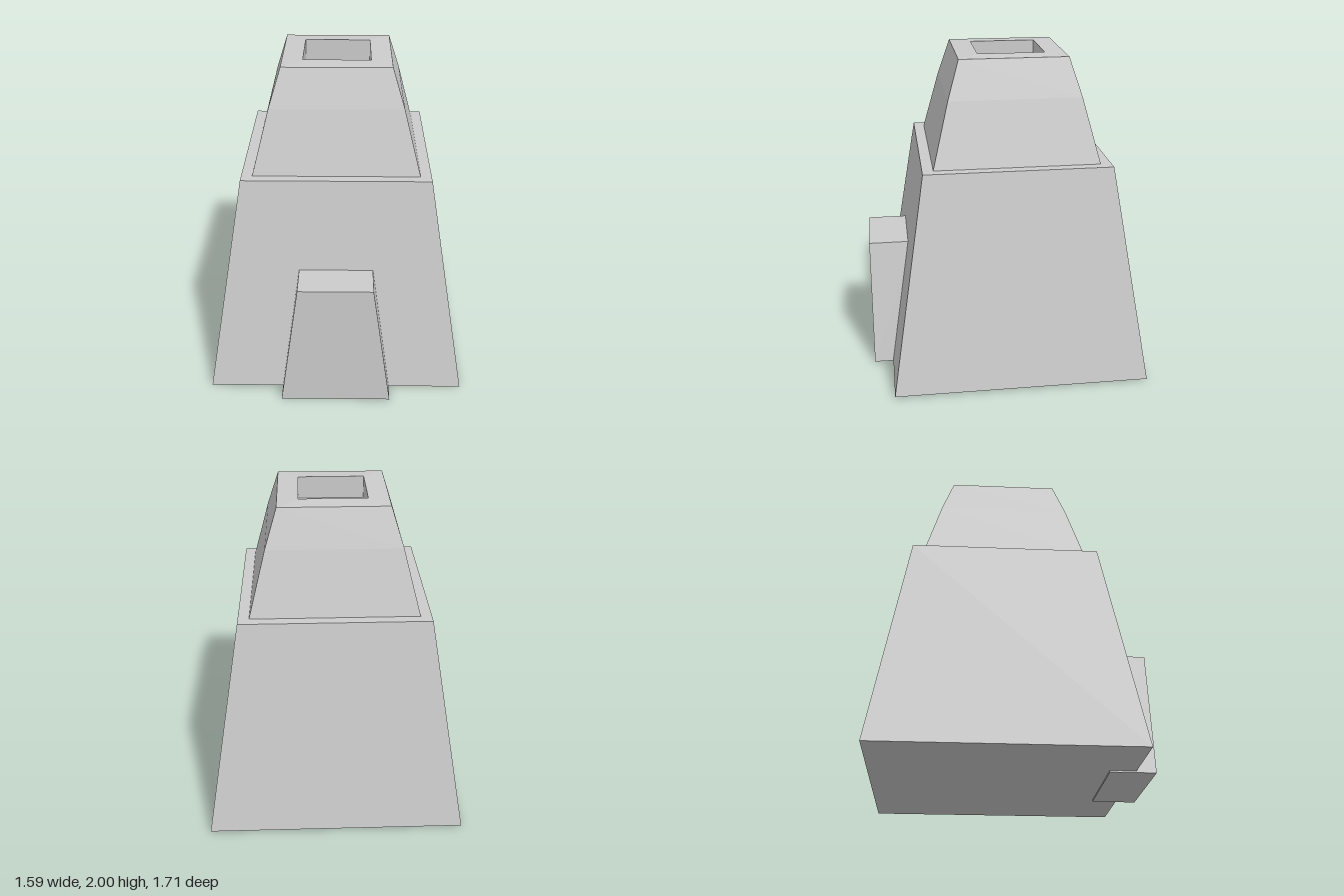
import * as THREE from 'three';

const CENTER_Z = -0.06;

// Square tower section from a profile of [half width, height], listed bottom to top
function squareSection(name, profile, material) {
  const points = profile.map(([half, y]) => new THREE.Vector2(half * Math.SQRT2, y));
  const geometry = new THREE.LatheGeometry(points, 4, Math.PI / 4).toNonIndexed();
  geometry.computeVertexNormals();
  const mesh = new THREE.Mesh(geometry, material);
  mesh.name = name;
  mesh.position.z = CENTER_Z;
  return mesh;
}

export function createModel() {
  const group = new THREE.Group();
  group.name = 'taperedTower';
  const material = new THREE.MeshStandardMaterial({ color: 0xcccccc, flatShading: true });

  // Wide tapered base with a flat ledge on top
  group.add(squareSection('lowerBody', [
    [0, 0.01], [0.795, 0.01], [0.577, 1.365], [0, 1.365],
  ], material));

  // Upper chimney: slightly bulging walls, sloped rim and a square recess
  group.add(squareSection('chimney', [
    [0, 1.365], [0.51, 1.365], [0.408, 1.76], [0.335, 1.994],
    [0.207, 2], [0.207, 1.86], [0, 1.86],
  ], material));

  // Trapezoid doorway block projecting from the front wall
  const outline = new THREE.Shape([
    [-0.34, 0], [0.34, 0], [0.228, 0.8], [-0.228, 0.8],
  ].map(([x, y]) => new THREE.Vector2(x, y)));
  const doorway = new THREE.Mesh(
    new THREE.ExtrudeGeometry(outline, { depth: 0.28, bevelEnabled: false }), material);
  doorway.name = 'doorway';
  doorway.position.z = 0.575;
  group.add(doorway);

  return group;
}
